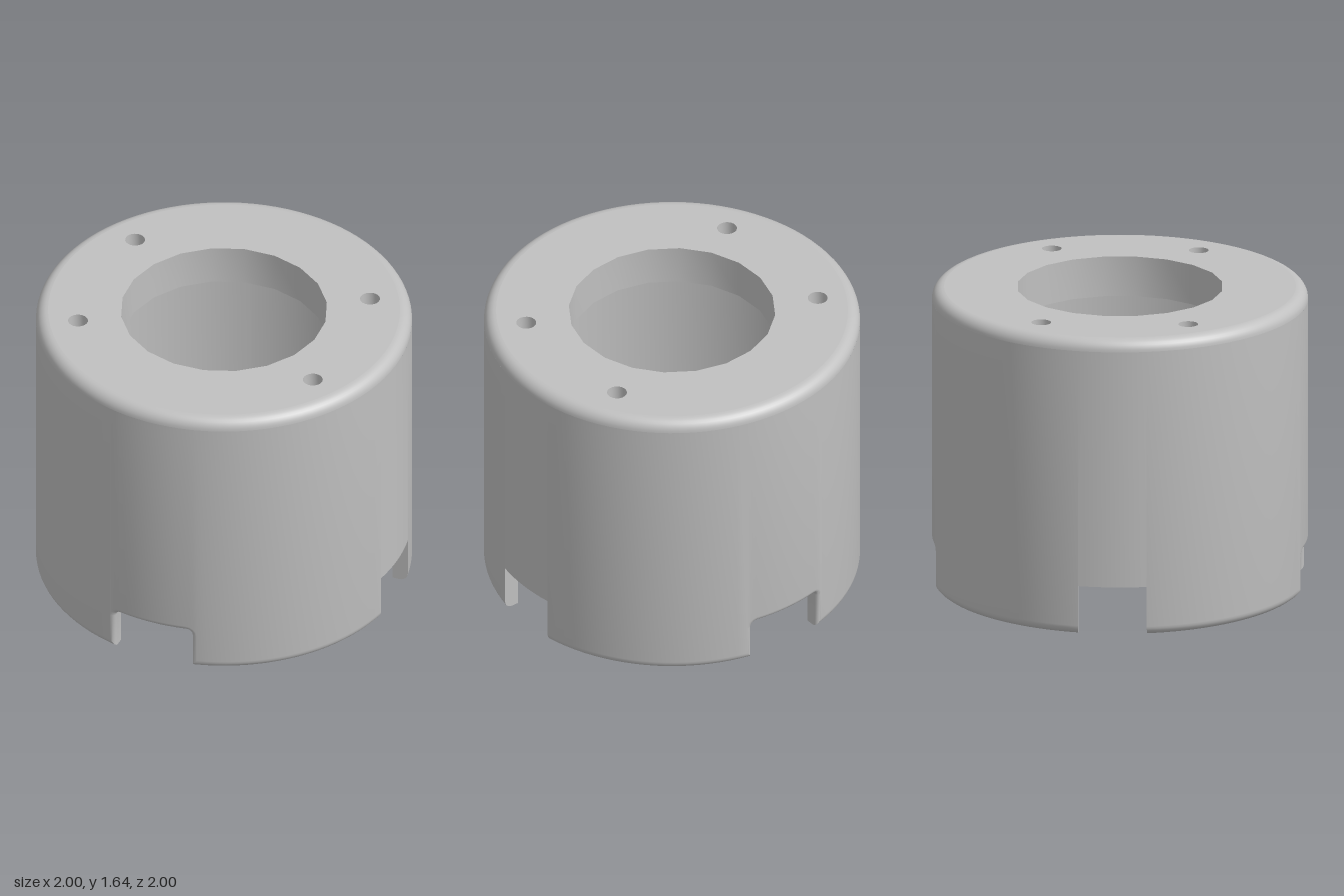
import * as THREE from 'three';
import { toCreasedNormals } from 'three/addons/utils/BufferGeometryUtils.js';

const RAD = Math.PI / 180;
const INNER = 0.913, TOP = 1.64, TOP_ROUND = 0.065, PLATE = 0.22;
const EDGE_ROUND = 0.05, NOTCH_ROUND = 0.03;

// Two plain notches alternate with two wider, softened ones
const notches = [47.5, 137.5, 227.5, 317.5].map((a, i) => i % 2
  ? { angle: a * RAD, half: 0.22, height: 0.24, soft: true }
  : { angle: a * RAD, half: 0.183, height: 0.27, soft: false });

// How far a rounded outer edge has receded at radius r
function rounding(r, size) {
  const d = Math.max(0, r - (1 - size));
  return size - Math.sqrt(Math.max(0, size * size - d * d));
}

const polar = (r, a, y) => new THREE.Vector3(r * Math.cos(a), y, r * Math.sin(a));

// Lower rim at one radius: along the bottom and up around each notch
function rimPath(r) {
  const path = [], bottom = rounding(r, EDGE_ROUND);
  const bounds = notches.map((n) => {
    const grow = n.soft ? rounding(r, NOTCH_ROUND) : 0;
    const w = n.half + grow;
    return { w, h: n.height + grow, reach: Math.asin(w / r), corner: n.soft ? 0.03 + grow : 0 };
  });
  notches.forEach((n, k) => {
    const { w, h, reach, corner } = bounds[k];
    const add = (t, y) => path.push(polar(r, n.angle + Math.asin(t / r), y));
    add(-w, bottom);
    for (let i = 0; i <= 4; i++) {
      const a = i * Math.PI / 8;
      add(-w + corner * (1 - Math.cos(a)), h - corner * (1 - Math.sin(a)));
    }
    for (let i = 1; i < 8; i++) add((w - corner) * (i / 4 - 1), h);
    for (let i = 4; i >= 0; i--) {
      const a = i * Math.PI / 8;
      add(w - corner * (1 - Math.cos(a)), h - corner * (1 - Math.sin(a)));
    }
    add(w, bottom);
    const next = (k + 1) % 4;
    const start = n.angle + reach;
    const end = notches[next].angle + (next === 0 ? 2 * Math.PI : 0) - bounds[next].reach;
    for (let i = 1; i < 20; i++) path.push(polar(r, start + (end - start) * i / 20, bottom));
  });
  path.push(path[0].clone());
  return path;
}

// Notched wall: rim surface, outside and inside
function wallGeometry() {
  const radii = [INNER];
  for (let i = 0; i <= 6; i++) radii.push(1 - EDGE_ROUND + EDGE_ROUND * Math.sin(i * 15 * RAD));
  const rims = radii.map(rimPath);
  const pos = [];
  const tri = (...pts) => pts.forEach((p) => pos.push(p.x, p.y, p.z));
  const skin = (from, to) => {
    for (let j = 0; j < from.length - 1; j++) {
      tri(from[j], to[j], to[j + 1]);
      tri(from[j], to[j + 1], from[j + 1]);
    }
  };
  const raise = (path, y) => path.map((p) => new THREE.Vector3(p.x, y, p.z));
  for (let i = 0; i < rims.length - 1; i++) skin(rims[i], rims[i + 1]);
  const outer = rims[rims.length - 1];
  skin(outer, raise(outer, TOP - TOP_ROUND));
  skin(raise(rims[0], TOP - PLATE + 0.02), rims[0]);
  const geo = new THREE.BufferGeometry();
  geo.setAttribute('position', new THREE.Float32BufferAttribute(pos, 3));
  return toCreasedNormals(geo, 0.6);
}

function circle(PathType, x, y, r, sides) {
  const pts = [];
  for (let i = 0; i < sides; i++) {
    const a = i / sides * 2 * Math.PI;
    pts.push(new THREE.Vector2(x + r * Math.cos(a), y + r * Math.sin(a)));
  }
  return new PathType(pts);
}

export function createModel() {
  const group = new THREE.Group();
  const grey = new THREE.MeshStandardMaterial({ color: 0xc0c0c0 });
  grey.name = 'grey';
  const add = (name, geo) => {
    const mesh = new THREE.Mesh(geo, grey);
    mesh.name = name;
    group.add(mesh);
  };

  add('notchedWall', wallGeometry());

  // Rounded shoulder between wall and top
  const profile = [];
  for (let i = 0; i <= 8; i++) {
    const a = i / 8 * Math.PI / 2;
    profile.push(new THREE.Vector2(
      1 - TOP_ROUND * (1 - Math.cos(a)), TOP - TOP_ROUND * (1 - Math.sin(a))));
  }
  add('topShoulder', new THREE.LatheGeometry(profile, 96));

  // Top plate with the large opening and four screw holes
  const plate = circle(THREE.Shape, 0, 0, 1 - TOP_ROUND, 96);
  plate.holes.push(circle(THREE.Path, 0, 0, 0.55, 20));
  for (const deg of [17.5, 77.5, 197.5, 257.5]) {
    const a = deg * RAD;
    plate.holes.push(circle(THREE.Path, 0.782 * Math.cos(a), 0.782 * Math.sin(a), 0.053, 20));
  }
  const plateGeo = new THREE.ExtrudeGeometry(plate, { depth: PLATE, bevelEnabled: false });
  plateGeo.rotateX(Math.PI / 2).translate(0, TOP, 0);
  add('topPlate', toCreasedNormals(plateGeo, 0.6));

  return group;
}
